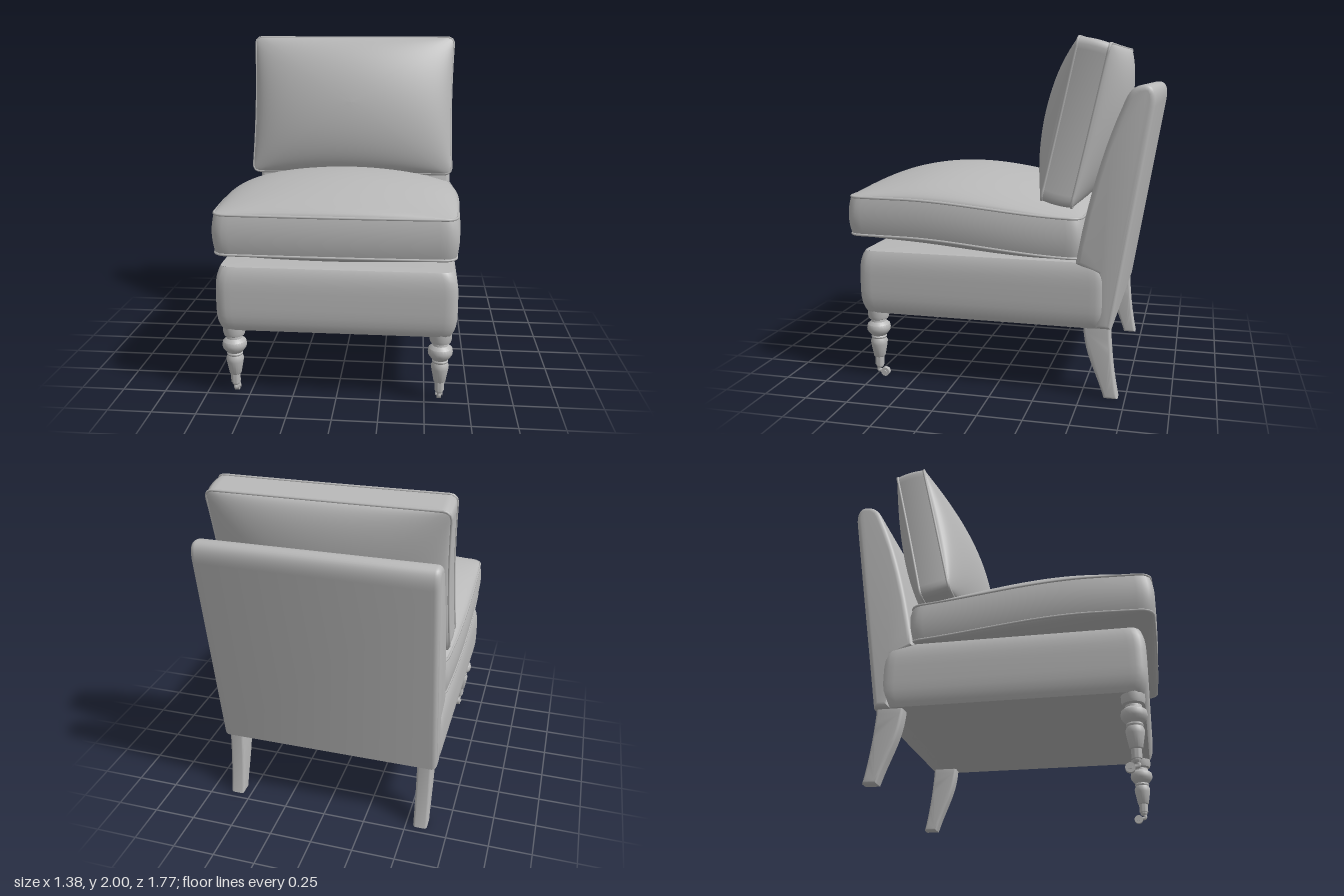
import * as THREE from 'three';
import { mergeGeometries, toCreasedNormals } from 'three/addons/utils/BufferGeometryUtils.js';

const fabric = new THREE.MeshStandardMaterial({ color: 0xb8b8b8 });
fabric.name = 'plain grey';

function add(parent, name, geometry, x = 0, y = 0, z = 0) {
  const mesh = new THREE.Mesh(geometry, fabric);
  mesh.name = name;
  mesh.position.set(x, y, z);
  parent.add(mesh);
  return mesh;
}

// Evenly spaced points round a rounded rectangle
function outline(w, l, r) {
  const s = new THREE.Shape();
  s.absarc(w - r, l - r, r, 0, Math.PI / 2);
  s.absarc(r - w, l - r, r, Math.PI / 2, Math.PI);
  s.absarc(r - w, r - l, r, Math.PI, Math.PI * 1.5);
  s.absarc(w - r, r - l, r, Math.PI * 1.5, Math.PI * 2);
  s.closePath();
  return s.getSpacedPoints(160).slice(0, -1);
}

// Skin between closed rings of points, listed from bottom to top
function loft(rings) {
  const n = rings[0].length, index = [];
  for (let i = 0; i < rings.length - 1; i++) {
    for (let j = 0; j < n; j++) {
      const k = (j + 1) % n;
      const a = i * n + j, b = i * n + k, c = a + n, d = b + n;
      index.push(a, c, d, a, d, b);
    }
  }
  const g = new THREE.BufferGeometry().setFromPoints(rings.flat());
  g.setIndex(index);
  g.computeVertexNormals();
  return g;
}

// Upholstered block: barrelled side band between two domed panels, with optional piping
function cushion(name, o) {
  const { w, l, t, r, top, bottom, bulge, power = 2, bowX = 0, bowZ = 0, piping = 0, bend = () => 0 } = o;
  const pts = outline(w, l, r);
  const ring = (s, y, out, dome) => pts.map((p) => {
    const u = p.x / w, v = p.y / l;
    const x = p.x * s * (1 + bowX * (1 - v * v) + out / w);
    const z = p.y * s * (1 + bowZ * (1 - u * u) + out / l);
    const h = dome * Math.pow(Math.max(0, (1 - u * u * s * s) * (1 - v * v * s * s)), 0.55);
    return new THREE.Vector3(x, y + h + bend(z), z);
  });
  const low = [], band = [], high = [];
  for (let i = 0; i <= 18; i++) {
    const a = (i / 18) * Math.PI / 2;
    low.push(ring(Math.sin(a), -t / 2, 0, -bottom));
    high.push(ring(Math.cos(a), t / 2, 0, top));
  }
  for (let i = 0; i <= 12; i++) {
    const k = Math.sin((i / 6 - 1) * Math.PI / 2);
    band.push(ring(1, k * t / 2, bulge * (1 - Math.pow(Math.abs(k), power)), 0));
  }
  const group = new THREE.Group();
  group.name = name;
  add(group, name + 'Cover', mergeGeometries([loft(low), loft(band), loft(high)]));
  if (piping) {
    for (const y of [-t / 2, t / 2]) {
      const path = new THREE.CatmullRomCurve3(ring(1, y, 0, 0), true);
      add(group, name + 'Piping', new THREE.TubeGeometry(path, 200, piping, 6, true));
    }
  }
  return group;
}

// Side profile (z, y) given thickness across x, with rounded edges
function sideExtrude(shape, width, bevel) {
  const g = new THREE.ExtrudeGeometry(shape, {
    depth: width - 2 * bevel, bevelEnabled: true, bevelSize: bevel, bevelThickness: bevel,
    bevelOffset: -bevel, bevelSegments: 4, curveSegments: 10,
  });
  g.translate(0, 0, bevel - width / 2);
  g.rotateY(-Math.PI / 2);
  return toCreasedNormals(g, 0.6);
}

export function createModel() {
  const chair = new THREE.Group();
  chair.name = 'slipperChair';

  // Upholstered base
  const base = cushion('seatBase', {
    w: 0.645, l: 0.7, t: 0.37, r: 0.05, top: 0.015, bottom: 0, bulge: 0.028, power: 4,
  });
  base.position.set(0, 0.595, 0.085);
  chair.add(base);

  // Raked back rest, running down behind the base
  const back = new THREE.Shape();
  back.moveTo(-0.67, 0.41);
  back.lineTo(-0.874, 1.63);
  back.bezierCurveTo(-0.885, 1.7, -0.87, 1.745, -0.82, 1.745);
  back.bezierCurveTo(-0.76, 1.74, -0.735, 1.71, -0.705, 1.63);
  back.quadraticCurveTo(-0.56, 1.3, -0.465, 0.77);
  back.lineTo(-0.58, 0.72);
  back.lineTo(-0.58, 0.41);
  back.closePath();
  add(chair, 'backRest', sideExtrude(back, 1.325, 0.03));

  // Loose seat cushion, sinking towards the back
  const seat = cushion('seatCushion', {
    w: 0.65, l: 0.68, t: 0.22, r: 0.06, top: 0.155, bottom: 0.1, bulge: 0.014,
    bowX: 0.04, bowZ: 0.014, piping: 0.008,
    bend: (z) => -0.075 * THREE.MathUtils.smoothstep(-z, -0.35, 0.72),
  });
  seat.position.set(0, 0.985, 0.185);
  chair.add(seat);

  // Loose back cushion, leaning on the back rest
  const pillow = cushion('backCushion', {
    w: 0.663, l: 0.45, t: 0.17, r: 0.04, top: 0.165, bottom: 0.135, bulge: 0.006,
    bowX: -0.02, bowZ: -0.005, piping: 0.008,
  });
  pillow.position.set(0, 1.536, -0.455);
  pillow.rotation.x = 1.348;
  chair.add(pillow);

  // Turned front leg profile, as radius and height
  const turned = [
    [0, 0.05], [0.016, 0.05], [0.022, 0.06], [0.022, 0.068], [0.027, 0.07], [0.028, 0.12], [0.034, 0.125],
    [0.048, 0.2], [0.05, 0.22], [0.042, 0.238], [0.046, 0.248], [0.042, 0.256], [0.055, 0.27],
    [0.068, 0.288], [0.07, 0.305], [0.066, 0.325], [0.045, 0.342], [0.043, 0.355],
    [0.058, 0.362], [0.063, 0.38], [0.063, 0.42],
  ].map(([r, y]) => new THREE.Vector2(r, y));
  const legGeometry = toCreasedNormals(new THREE.LatheGeometry(turned, 24), 0.7);

  // Sabre back leg profile
  const sabre = new THREE.Shape();
  sabre.moveTo(-0.71, 0);
  sabre.quadraticCurveTo(-0.668, 0.2, -0.66, 0.43);
  sabre.lineTo(-0.51, 0.43);
  sabre.bezierCurveTo(-0.515, 0.25, -0.58, 0.17, -0.632, 0);
  sabre.closePath();
  const sabreGeometry = sideExtrude(sabre, 0.086, 0.015);

  // Caster fork, curling back from the leg to the wheel
  const fork = new THREE.CatmullRomCurve3([[0.06, 0], [0.035, 0.008], [0.03, -0.012], [0.027, -0.03]]
    .map(([y, z]) => new THREE.Vector3(0, y, z)));
  const forkGeometry = new THREE.TubeGeometry(fork, 12, 0.011, 8);
  const wheelGeometry = new THREE.CylinderGeometry(0.026, 0.026, 0.026, 20).rotateZ(Math.PI / 2);
  const hubGeometry = new THREE.CylinderGeometry(0.01, 0.01, 0.04, 12).rotateZ(Math.PI / 2);

  for (const side of [-1, 1]) {
    const leg = new THREE.Group();
    leg.name = side > 0 ? 'leftFrontLeg' : 'rightFrontLeg';
    leg.position.set(side * 0.585, 0, 0.725);
    add(leg, 'turnedLeg', legGeometry);
    add(leg, 'casterFork', forkGeometry);
    add(leg, 'casterWheel', wheelGeometry, 0, 0.026, -0.036);
    add(leg, 'casterHub', hubGeometry, 0, 0.026, -0.036);
    chair.add(leg);
    add(chair, side > 0 ? 'leftBackLeg' : 'rightBackLeg', sabreGeometry, side * 0.587, 0, 0);
  }
  return chair;
}
